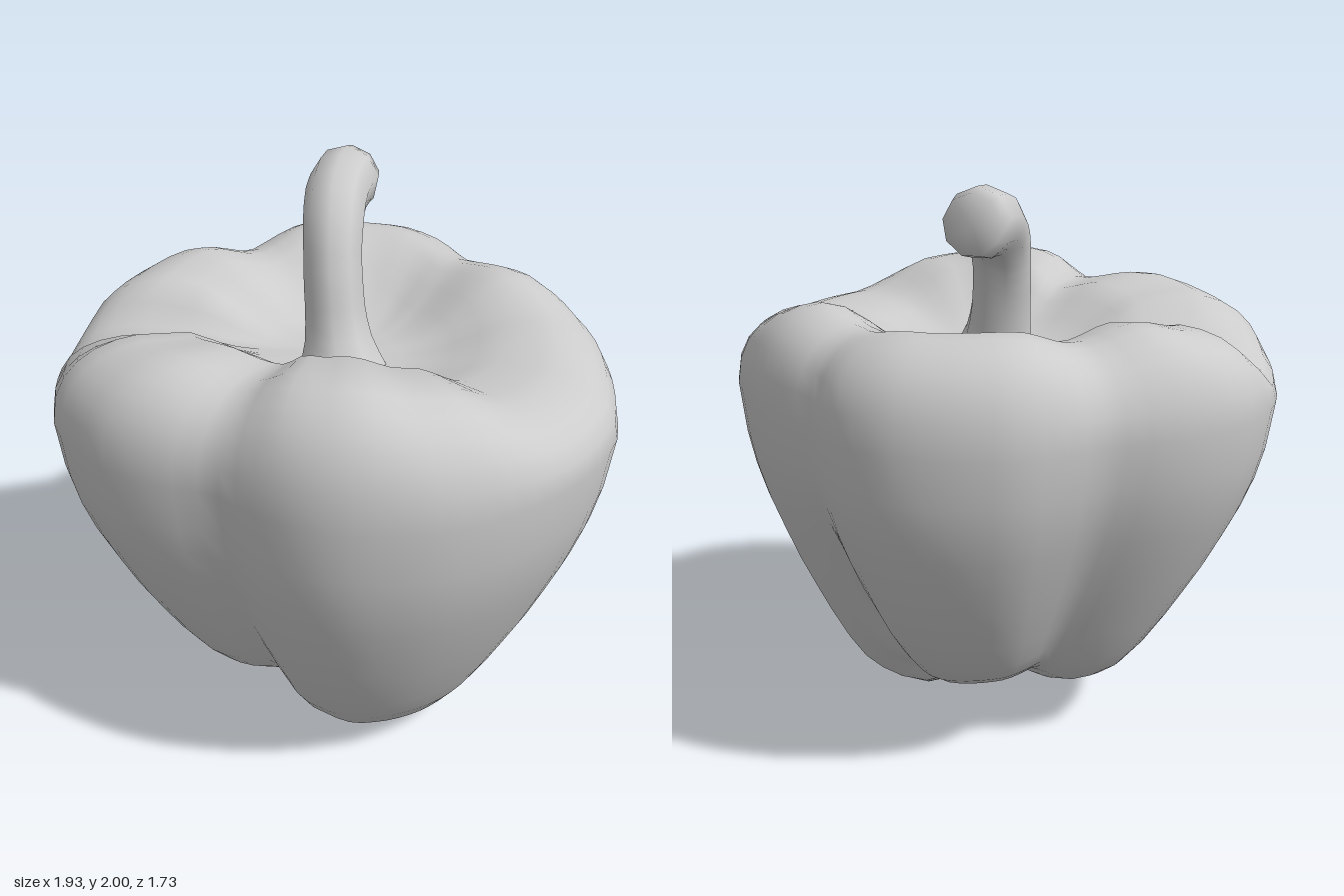
import * as THREE from 'three';

// Outline radius by angle in degrees (0 = left side, 90 = front)
const OUTLINE = [[0, .96], [13, .965], [33, .954], [50, .945], [68, .92], [77, .89], [85, .853], [97, .806],
  [110, .89], [121, .956], [138, 1.01], [150, 1], [167, .99], [182, .965], [196, .895], [213, .8], [224, .834],
  [235, .868], [263, .871], [277, .84], [289, .765], [306, .8], [320, .845], [333, .9], [347, .925], [360, .96]];
// Height of the shoulder crest by angle
const CREST = [[0, 1.48], [18, 1.485], [45, 1.6], [65, 1.65], [80, 1.63], [97, 1.55], [118, 1.59], [138, 1.56],
  [152, 1.48], [161, 1.41], [177, 1.55], [195, 1.59], [213, 1.54], [235, 1.6], [262, 1.59], [289, 1.55],
  [315, 1.59], [340, 1.52], [360, 1.48]];
// Height of the lobe bottoms by angle
const FOOT = [[0, .01], [25, 0], [60, .02], [80, .07], [98, .17], [115, .165], [140, .16], [180, .17], [213, .25],
  [235, .25], [260, .24], [278, .26], [289, .27], [305, .21], [330, .08], [360, .01]];
// Grooves between lobes: angle, width, depth, fade toward the top
const GROOVES = [[98, 11, .04, 1], [213, 19, .045, 1], [289, 13, .13, 2.3]];

// Profile rows: [radius factor, blend], from the bowl out, down the side and under
const BOWL = [[0, 0], [.08, 0], [.2, .03], [.3, .14], [.39, .37], [.48, .66], [.57, .91]];
const SHOULDER = [[.7, 1], [.77, .97], [.84, .89], [.9, .76], [.95, .58], [.985, .33]];
const SIDE = [[1, 1], [.992, .85], [.973, .75], [.94, .65], [.895, .55], [.845, .45], [.79, .36], [.73, .27],
  [.65, .17], [.575, .1], [.495, .055], [.4, .02], [.28, 0]];
const UNDER = [[.18, .25], [.1, .65], [0, 1]];
const WIDEST = 1.27, BOWL_Y = 1.38, UNDER_Y = .18;

const { lerp, smoothstep } = THREE.MathUtils;

function lookup(table, deg, smooth) {
  const k = Math.max(1, table.findIndex(p => p[0] >= deg));
  const [a, va] = table[k - 1], [b, vb] = table[k];
  return lerp(va, vb, smooth ? smoothstep(deg, a, b) : (deg - a) / (b - a));
}

// Skin over closed rings of points
function skin(name, rows, cols, point) {
  const pos = [], index = [];
  for (let i = 0; i < rows; i++) {
    for (let j = 0; j < cols; j++) {
      pos.push(...point(i, j));
      if (i === rows - 1) continue;
      const a = i * cols + j, b = i * cols + (j + 1) % cols;
      index.push(a, b, a + cols, b, b + cols, a + cols);
    }
  }
  const geo = new THREE.BufferGeometry();
  geo.setAttribute('position', new THREE.Float32BufferAttribute(pos, 3));
  geo.setIndex(index);
  geo.computeVertexNormals();
  const mesh = new THREE.Mesh(geo, new THREE.MeshStandardMaterial({ color: 0xcccccc }));
  mesh.name = name;
  return mesh;
}

// Lobed fruit body
function makeBody() {
  const profile = [
    ...BOWL.map(([s, k]) => [s, k, (c) => lerp(BOWL_Y, c, k)]),
    ...SHOULDER.map(([s, k]) => [s, k, (c) => lerp(WIDEST, c, k)]),
    ...SIDE.map(([s, k]) => [s, k, (c, f) => lerp(f, WIDEST, k)]),
    ...UNDER.map(([s, k]) => [s, 0, (c, f) => lerp(f, UNDER_Y, k)]),
  ];
  const cols = 72, sideStart = BOWL.length + SHOULDER.length;
  return skin('pepperBody', profile.length, cols, (i, j) => {
    const deg = j * 360 / cols, a = deg * Math.PI / 180;
    const [s, k, height] = profile[i];
    let r = s * lookup(OUTLINE, deg, false);
    // bowl wall is steeper at the back, gentler at the front
    if (i < BOWL.length) r *= 1 - .1 * Math.sin(a);
    if (i >= sideStart) {
      // straighter taper on the left and right flanks
      r -= .06 * Math.cos(a) ** 2 * Math.sin(Math.PI * k ** .6);
      // grooves deepen toward the bottom
      for (const [g, w, d, fade] of GROOVES) {
        r -= 1.5 * d * s * (1 - k) ** fade * Math.exp(-(((deg - g) / w) ** 2));
      }
    }
    return [r * Math.cos(a), height(lookup(CREST, deg, true), lookup(FOOT, deg, true)), r * Math.sin(a)];
  });
}

// Bent stem with a thickened, closed tip
function makeStem() {
  const path = new THREE.CatmullRomCurve3([[.01, 1.34, .05], [-.03, 1.5, .01], [-.06, 1.66, -.03], [-.09, 1.8, -.1],
    [-.125, 1.875, -.22], [-.14, 1.885, -.37]].map(p => new THREE.Vector3(...p)));
  const radii = [[0, .16], [.12, .12], [.25, .104], [.5, .1], [.75, .108], [.92, .118], [1, .1]];
  const steps = 14, cols = 9;
  const frames = path.computeFrenetFrames(steps, false);
  // the extra last ring closes the tip
  return skin('stem', steps + 2, cols, (i, j) => {
    const n = Math.min(i, steps), a = j / cols * Math.PI * 2;
    const r = i > steps ? 0 : lookup(radii, n / steps, false);
    return path.getPointAt(n / steps)
      .addScaledVector(frames.normals[n], r * Math.cos(a))
      .addScaledVector(frames.binormals[n], r * Math.sin(a)).toArray();
  });
}

export function createModel() {
  const model = new THREE.Group();
  model.name = 'bellPepper';
  model.add(makeBody(), makeStem());
  return model;
}
